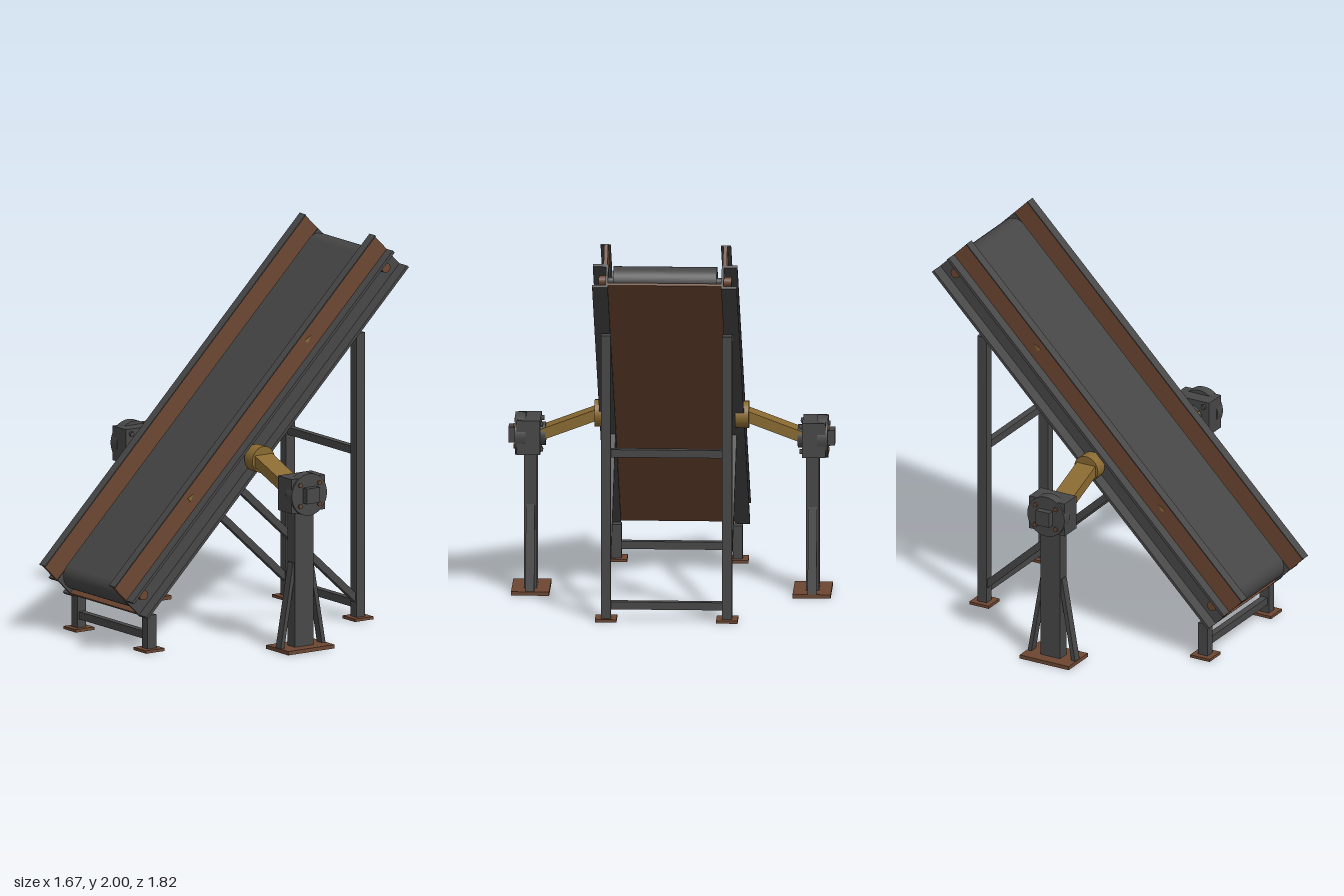
import * as THREE from 'three';

const mat = (name, color) => Object.assign(new THREE.MeshStandardMaterial({ color }), { name });

export function createModel() {
  const steel = mat('dark steel', 0x474747);
  const rubber = mat('belt rubber', 0x454545);
  const rust = mat('rusty brown', 0x6c4631);
  const gold = mat('ochre paint', 0x8a6a31);

  const model = new THREE.Group();
  model.name = 'inclinedConveyor';

  const add = (parent, name, geo, m, x = 0, y = 0, z = 0) => {
    const mesh = new THREE.Mesh(geo, m);
    mesh.name = name;
    mesh.position.set(x, y, z);
    parent.add(mesh);
    return mesh;
  };
  const box = (parent, name, m, w, h, d, x, y, z) =>
    add(parent, name, new THREE.BoxGeometry(w, h, d), m, x, y, z);
  // cylinder lying along x
  const rod = (parent, name, m, r, len, x, y, z, sides = 24) =>
    add(parent, name, new THREE.CylinderGeometry(r, r, len, sides).rotateZ(Math.PI / 2), m, x, y, z);
  // square bar between two points of equal x; w is its width along x
  const bar = (name, w, t, x, y0, z0, y1, z1) => {
    const b = box(model, name, steel, w, t, Math.hypot(y1 - y0, z1 - z0), x, (y0 + y1) / 2, (z0 + z1) / 2);
    b.rotation.x = -Math.atan2(y1 - y0, z1 - z0);
    return b;
  };

  // inclined deck: local -z runs up the slope, local y is its normal
  const deck = new THREE.Group();
  deck.name = 'deck';
  deck.position.y = 1.09;
  deck.rotation.x = Math.PI / 4;
  model.add(deck);
  const L = 2.31, drumZ = 1.075, drumY = -0.04;

  // belt: a stadium loop extruded across the width
  const loop = new THREE.Shape();
  loop.absarc(drumZ, 0, 0.075, -Math.PI / 2, Math.PI / 2, false);
  loop.absarc(-drumZ, 0, 0.075, Math.PI / 2, Math.PI * 1.5, false);
  loop.closePath();
  const hole = new THREE.Path();
  hole.absarc(drumZ, 0, 0.068, -Math.PI / 2, Math.PI / 2, false);
  hole.absarc(-drumZ, 0, 0.068, Math.PI / 2, Math.PI * 1.5, false);
  hole.closePath();
  loop.holes.push(hole);
  const beltGeo = new THREE.ExtrudeGeometry(loop, { depth: 0.53, bevelEnabled: false, curveSegments: 20 });
  beltGeo.translate(0, 0, -0.265).rotateY(Math.PI / 2);
  add(deck, 'belt', beltGeo, rubber, 0, drumY, 0);

  // drums, shafts, idlers and the pan beneath
  for (const z of [-drumZ, drumZ]) {
    rod(deck, 'drum', steel, 0.067, 0.52, 0, drumY, z, 32);
    rod(deck, 'drumShaft', steel, 0.02, 0.6, 0, drumY, z);
  }
  for (let i = -3; i <= 3; i++) rod(deck, 'idler', steel, 0.025, 0.58, 0, -0.01, i * 0.27, 16);
  box(deck, 'bottomPan', rust, 0.58, 0.015, L, 0, -0.108, 0);

  for (const s of [-1, 1]) {
    // outward-facing side channel
    box(deck, 'channelWeb', steel, 0.012, 0.14, L, s * 0.296, -0.06, 0);
    for (const y of [-0.1225, 0.0025])
      box(deck, 'channelFlange', steel, 0.08, 0.015, L, s * 0.33, y, 0);
    // guard board with a steel cap
    box(deck, 'guardBoard', rust, 0.02, 0.114, L, s * 0.305, 0.067, 0);
    box(deck, 'guardCap', steel, 0.052, 0.006, L, s * 0.308, 0.127, 0);
    for (const z of [-drumZ, drumZ])
      rod(deck, 'shaftCap', rust, 0.026, 0.04, s * 0.32, drumY, z);
    // small painted direction arrows
    const tri = new THREE.Shape([[-0.02, -0.012], [0.02, 0], [-0.02, 0.012]].map(p => new THREE.Vector2(...p)));
    for (const z of [-0.52, 0.52]) {
      const geo = new THREE.ExtrudeGeometry(tri, { depth: 0.004, bevelEnabled: false });
      geo.translate(0, 0, -0.002).rotateY(Math.PI / 2);
      add(deck, 'directionArrow', geo, gold, s * 0.316, 0.07, z);
    }

    // pivot disc and sloping arm
    rod(model, 'pivotDisc', gold, 0.07, 0.07, s * 0.36, 0.93, 0.02);
    const arm = box(model, 'pivotArm', gold, 0.3, 0.056, 0.11, s * 0.52, 0.88, 0.02);
    arm.rotation.z = -s * 0.36;

    // bearing housing
    box(model, 'bearingBlock', steel, 0.12, 0.18, 0.21, s * 0.73, 0.82, 0.02);
    rod(model, 'bearingDisc', steel, 0.11, 0.055, s * 0.773, 0.82, 0.02, 32);
    box(model, 'bearingHub', steel, 0.05, 0.08, 0.08, s * 0.81, 0.82, 0.02);
    rod(model, 'bearingCollar', steel, 0.06, 0.03, s * 0.66, 0.82, 0.02);
    for (const dy of [-1, 1]) for (const dz of [-1, 1]) {
      rod(model, 'bearingBolt', rust, 0.013, 0.012, s * 0.803, 0.82 + dy * 0.055, 0.02 + dz * 0.06, 6);
      rod(model, 'innerBolt', steel, 0.013, 0.016, s * 0.664, 0.82 + dy * 0.065, 0.02 + dz * 0.075, 6);
    }

    // side post, its raking braces and base plate
    box(model, 'sidePost', steel, 0.066, 0.74, 0.115, s * 0.722, 0.38, 0.02);
    box(model, 'sidePostBase', rust, 0.195, 0.02, 0.29, s * 0.72, 0.01, 0.02);
    for (const d of [-1, 1])
      bar('postBrace', 0.045, 0.022, s * 0.722, 0.46, 0.02 + d * 0.052, 0.015, 0.02 + d * 0.13);

    // front and rear legs with feet
    for (const [z, h, n] of [[0.677, 0.19, 'frontLeg'], [-0.632, 1.5, 'rearLeg']]) {
      box(model, n, steel, 0.05, h, 0.055, s * 0.31, h / 2, z);
      box(model, n + 'Foot', rust, 0.11, 0.015, 0.115, s * 0.31, 0.0075, z);
    }
    bar('diagonalBrace', 0.035, 0.036, s * 0.31, 0.1, -0.625, 0.79, 0.125);
  }

  // cross bars between the legs
  for (const [y, z] of [[0.08, 0.677], [0.08, -0.632], [0.88, -0.632]])
    box(model, 'crossBar', steel, 0.58, 0.04, 0.036, 0, y, z);

  return model;
}
